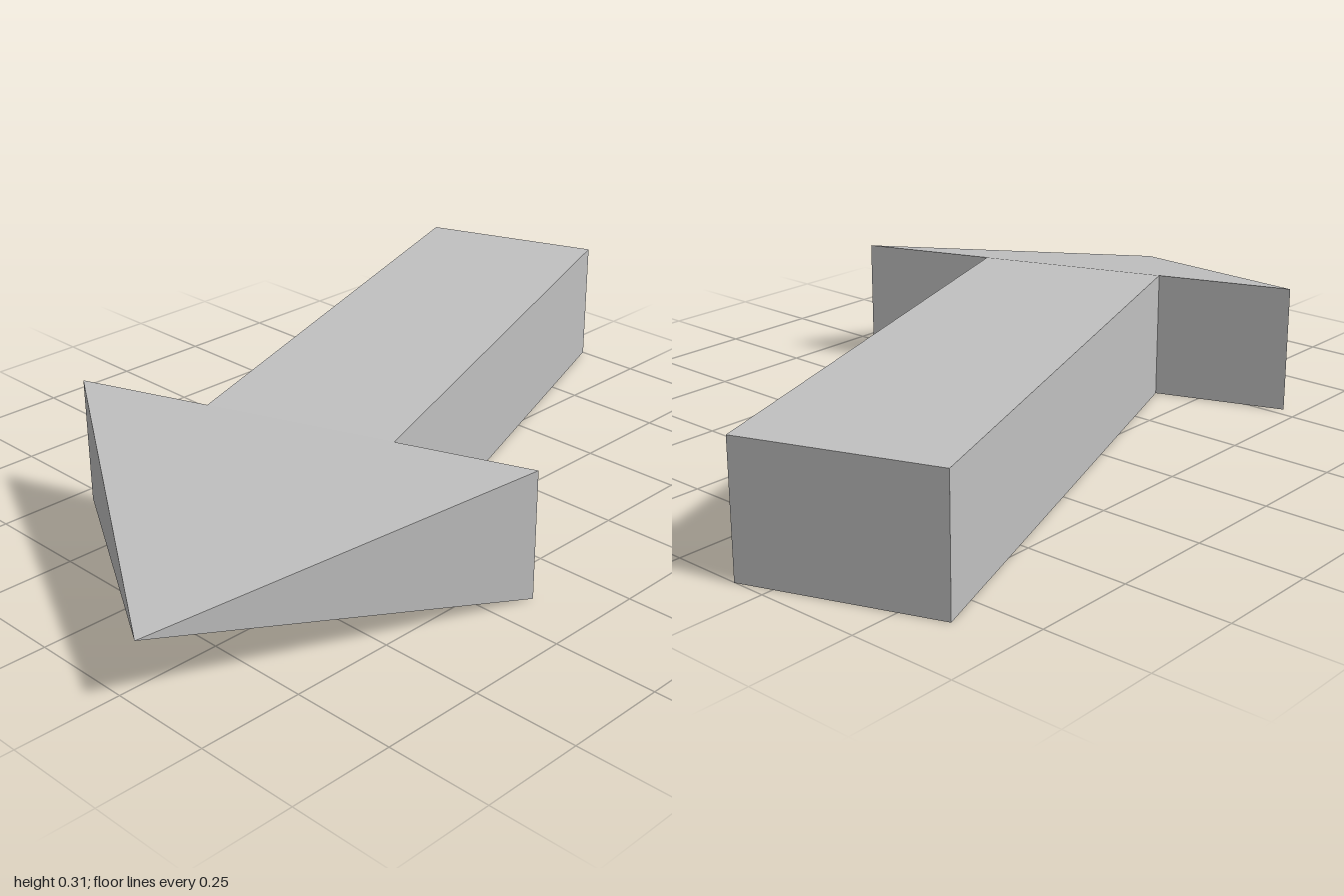
import * as THREE from 'three';

const HEIGHT = 0.312;
const SHAFT_WIDTH = 0.462, SHAFT_LENGTH = 1.341;
const HEAD_WIDTH = 1.123, HEAD_LENGTH = 0.705;

export function createModel() {
  const grey = new THREE.MeshStandardMaterial({ color: 0xc0c0c0 });
  grey.name = 'light grey';

  // Arrow is built pointing along +z, with the head's base at z = 0
  const arrow = new THREE.Group();
  arrow.name = 'arrow';

  // Straight rectangular shaft
  const shaft = new THREE.Mesh(new THREE.BoxGeometry(SHAFT_WIDTH, HEIGHT, SHAFT_LENGTH), grey);
  shaft.name = 'shaft';
  shaft.position.z = -SHAFT_LENGTH / 2;
  arrow.add(shaft);

  // Four-sided pyramid head: a unit square cone, turned forward and stretched
  const pyramid = new THREE.ConeGeometry(Math.SQRT1_2, 1, 4)
    .rotateY(Math.PI / 4)
    .rotateX(Math.PI / 2)
    .scale(HEAD_WIDTH, HEIGHT, HEAD_LENGTH)
    .toNonIndexed();
  pyramid.computeVertexNormals();
  const head = new THREE.Mesh(pyramid, grey);
  head.name = 'arrowHead';
  head.position.z = HEAD_LENGTH / 2;
  arrow.add(head);

  // Turn the arrow towards its left and stand it on the ground
  arrow.rotation.y = THREE.MathUtils.degToRad(20);
  arrow.position.set(0.072, HEIGHT / 2, 0.338);

  const model = new THREE.Group();
  model.name = 'arrowModel';
  model.add(arrow);
  return model;
}
